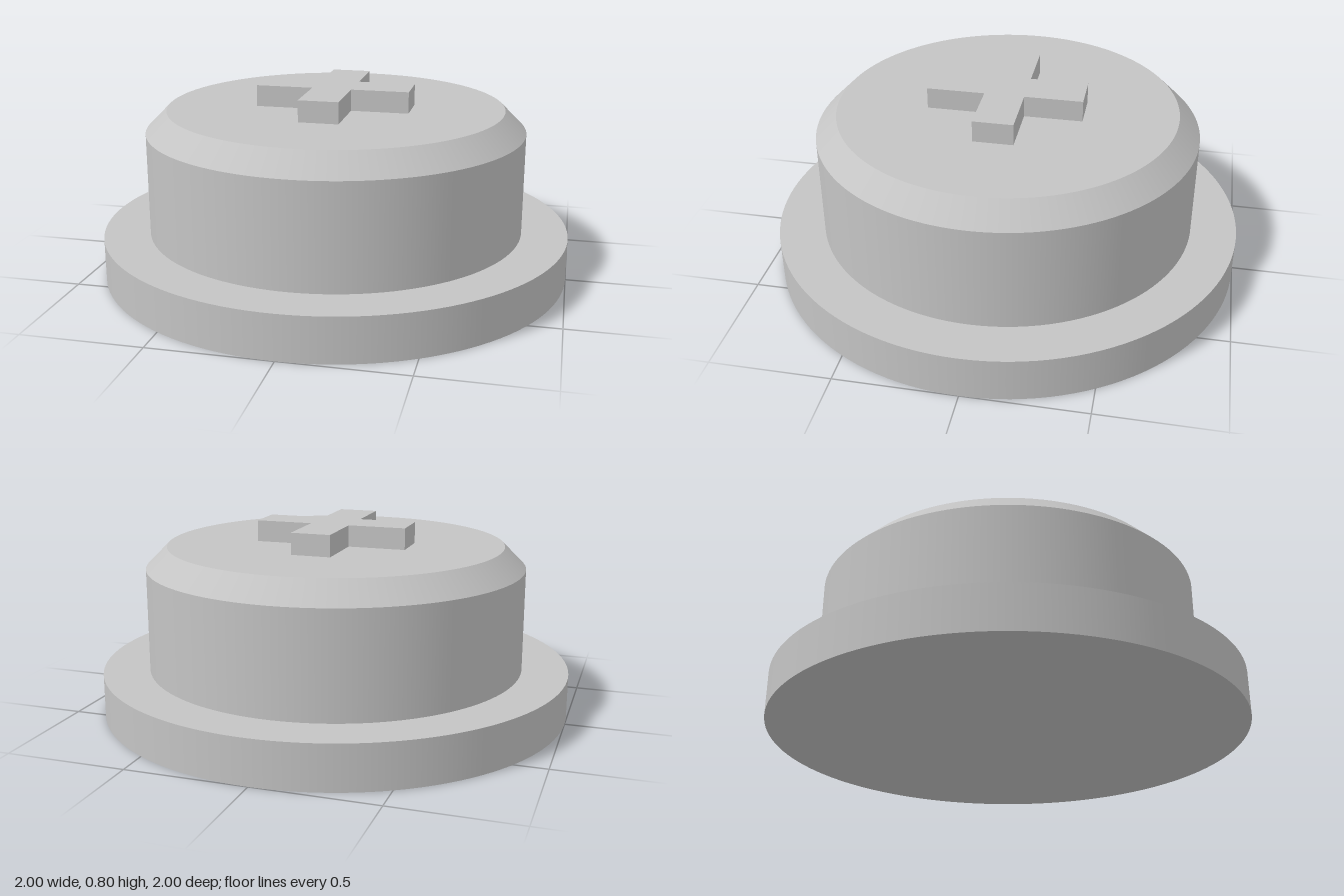
import * as THREE from 'three';

const SEGMENTS = 128;

export function createModel() {
  const model = new THREE.Group();
  model.name = 'crossTopButton';
  const grey = new THREE.MeshStandardMaterial({ color: 0xc4c4c4 });
  grey.name = 'plain grey';

  const add = (name, geometry, parent) => {
    const mesh = new THREE.Mesh(geometry, grey);
    mesh.name = name;
    parent.add(mesh);
  };

  // Stepped round body: one lathe band per profile edge keeps every rim sharp
  const body = new THREE.Group();
  body.name = 'body';
  model.add(body);
  const profile = [[0, 0], [1, 0], [1, 0.185], [0.805, 0.185], [0.805, 0.62], [0.715, 0.71], [0, 0.71]]
    .map(([r, y]) => new THREE.Vector2(r, y));
  const bands = ['base', 'flangeSide', 'flangeTop', 'capSide', 'capChamfer', 'capTop'];
  bands.forEach((name, i) =>
    add(name, new THREE.LatheGeometry([profile[i], profile[i + 1]], SEGMENTS), body));

  // Raised cross: three corners per arm, turned a quarter at a time
  const length = 0.325, half = 0.083;
  const corners = [];
  for (let i = 0; i < 4; i++) {
    for (const [x, y] of [[length, -half], [length, half], [half, half]]) {
      corners.push(new THREE.Vector2(x, y).rotateAround(new THREE.Vector2(), i * Math.PI / 2));
    }
  }
  const cross = new THREE.ExtrudeGeometry(new THREE.Shape(corners), { depth: 0.09, bevelEnabled: false });
  cross.rotateX(-Math.PI / 2).translate(0, 0.71, 0);
  add('raisedCross', cross, model);

  return model;
}
